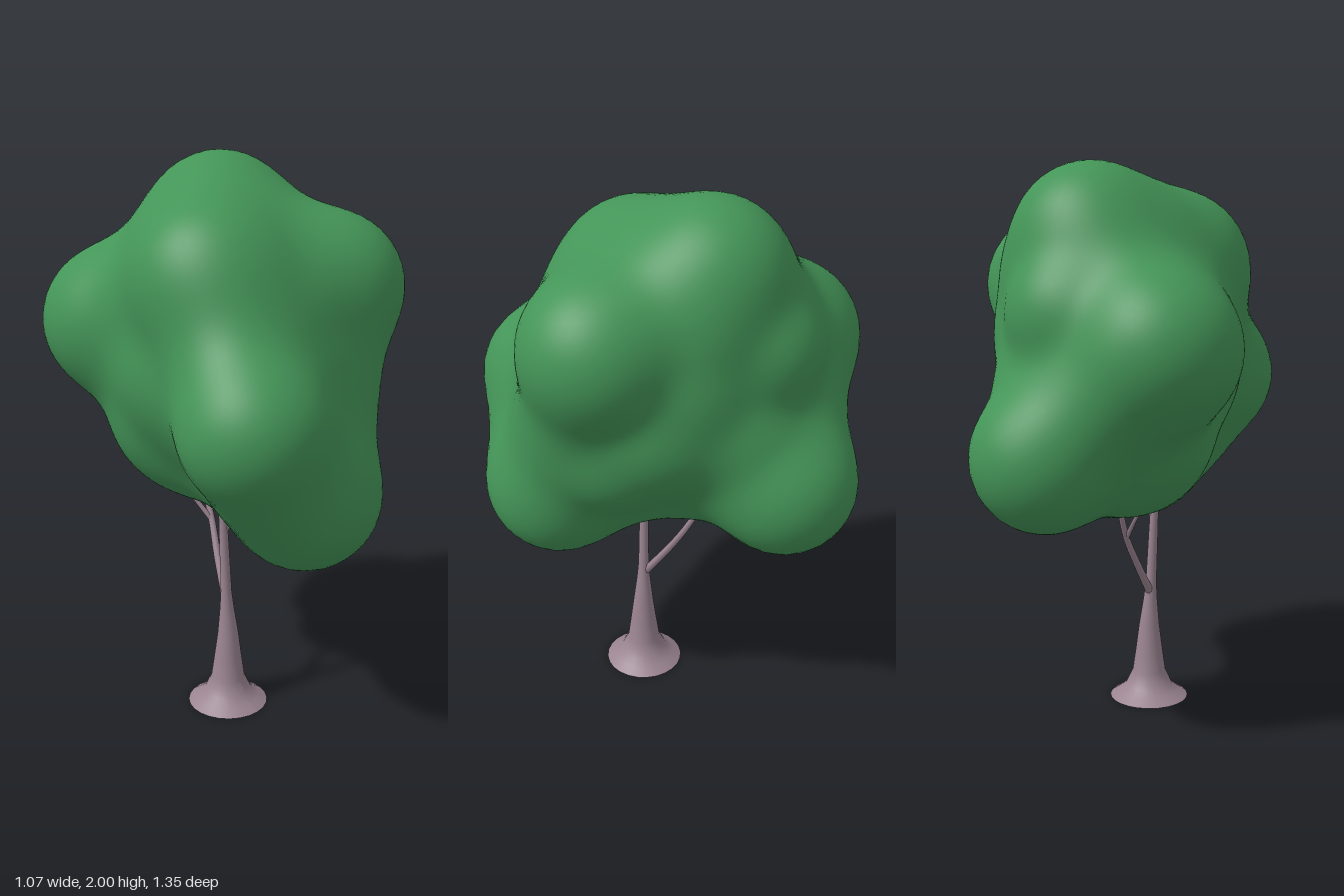
import * as THREE from 'three';
import { mergeVertices } from 'three/addons/utils/BufferGeometryUtils.js';

const V = (x, y, z) => new THREE.Vector3(x, y, z);

// Leaf lobes, and the pairs of lobes bridged by a rounded bar
const CORE = V(0.03, 1.3, 0.0);
const LOBES = {
  core: CORE,
  left: V(-0.28, 1.2, 0.41),
  low: V(-0.01, 0.9, 0.405),
  rear: V(0.27, 1.02, -0.36),
  right: V(0.27, 1.55, 0.26),
  top: V(0.13, 1.73, -0.12),
  back: V(-0.11, 1.39, -0.40),
  crown: V(-0.15, 1.62, 0.1),
  under: V(0.01, 1.02, -0.1),
};
const BARS = [
  ['core', 'left'], ['core', 'low'], ['core', 'rear'], ['core', 'right'], ['core', 'top'],
  ['core', 'back'], ['core', 'crown'], ['left', 'low'], ['low', 'right'], ['top', 'back'],
  ['top', 'crown'], ['back', 'rear'], ['back', 'crown'], ['right', 'top'], ['under', 'rear'],
  ['under', 'low'], ['crown', 'left'], ['under', 'back'], ['crown', 'right'],
].map(([a, b]) => new THREE.Line3(LOBES[a], LOBES[b]));

// Smaller lobes that fill the hollows between the bars
const FILLS = [
  // right flank
  V(0.25, 1.42, -0.03), V(0.25, 1.25, 0.07), V(0.18, 1.13, 0.21), V(0.22, 1.6, -0.06),
  V(0.19, 1.5, -0.28), V(0.24, 1.22, -0.2), V(0.1, 1.25, -0.3),
  // top
  V(0.0, 1.70, 0.0), V(-0.04, 1.66, -0.09), V(0.09, 1.64, 0.08),
  // front
  V(0.0, 1.32, 0.3), V(-0.17, 1.02, 0.40), V(-0.08, 1.45, 0.25), V(-0.12, 1.22, 0.33),
  V(-0.12, 1.57, 0.18), V(0.08, 1.54, 0.25),
  // left flank and underside
  V(-0.15, 1.28, 0.02), V(-0.1, 1.15, 0.15), V(-0.07, 1.06, -0.17),
];

const BAR_RADIUS = 0.213, FILL_RADIUS = 0.205, CORE_RADIUS = 0.4, BLEND = 0.038;
const near = new THREE.Vector3();

// Smoothly blended distance to the leaf mass
function distance(p) {
  let sum = Math.exp(-(p.distanceTo(CORE) - CORE_RADIUS) / BLEND);
  for (const fill of FILLS) sum += Math.exp(-(p.distanceTo(fill) - FILL_RADIUS) / BLEND);
  for (const bar of BARS) {
    bar.closestPointToPoint(p, true, near);
    sum += Math.exp(-(p.distanceTo(near) - BAR_RADIUS) / BLEND);
  }
  return -BLEND * Math.log(sum);
}

// Shrink a fine ball on to the blended lobes
function canopyGeometry() {
  let geo = new THREE.IcosahedronGeometry(1, 22);
  geo.deleteAttribute('normal');
  geo.deleteAttribute('uv');
  geo = mergeVertices(geo, 1e-4);
  const pos = geo.attributes.position, dir = V(0, 0, 0), p = V(0, 0, 0);
  for (let i = 0; i < pos.count; i++) {
    dir.fromBufferAttribute(pos, i).normalize();
    let t = 1.2;
    for (let n = 0; n < 80; n++) {
      const d = distance(p.copy(CORE).addScaledVector(dir, t));
      if (Math.abs(d) < 1e-4) break;
      t -= d * 0.9;
    }
    pos.setXYZ(i, CORE.x + dir.x * t, CORE.y + dir.y * t, CORE.z + dir.z * t);
  }
  geo.computeVertexNormals();
  return geo;
}

// Flared trunk, leaning slightly as it rises
function trunkGeometry() {
  const profile = [
    [0.147, 0], [0.115, 0.022], [0.088, 0.045], [0.074, 0.075], [0.062, 0.1], [0.051, 0.18],
    [0.038, 0.28], [0.026, 0.38], [0.02, 0.45], [0.017, 0.65], [0.014, 0.8], [0.008, 1.0],
  ].map(([r, y]) => new THREE.Vector2(r, y));
  const geo = new THREE.LatheGeometry(profile, 24);
  const pos = geo.attributes.position;
  for (let i = 0; i < pos.count; i++) {
    const lean = Math.max(0, pos.getY(i) - 0.28);
    pos.setX(i, pos.getX(i) - 0.07 - lean * 0.04);
    pos.setZ(i, pos.getZ(i) + 0.107 - lean * 0.02);
  }
  geo.computeVertexNormals();
  return geo;
}

// Tube along a curve, narrowing from r0 to r1
function branchGeometry(points, r0, r1) {
  const curve = new THREE.CatmullRomCurve3(points);
  const rings = 12, sides = 8;
  const geo = new THREE.TubeGeometry(curve, rings, 1, sides);
  const pos = geo.attributes.position, v = V(0, 0, 0);
  for (let i = 0; i < pos.count; i++) {
    const u = Math.floor(i / (sides + 1)) / rings;
    const c = curve.getPointAt(u);
    v.fromBufferAttribute(pos, i).sub(c).multiplyScalar(r0 + (r1 - r0) * u).add(c);
    pos.setXYZ(i, v.x, v.y, v.z);
  }
  return geo;
}

export function createModel() {
  const tree = new THREE.Group();
  tree.name = 'tree';
  const leaf = new THREE.MeshStandardMaterial({ color: 0x449558 });
  const bark = new THREE.MeshStandardMaterial({ color: 0x9a8490, side: THREE.DoubleSide });
  const add = (name, geometry, material) => {
    const mesh = new THREE.Mesh(geometry, material);
    mesh.name = name;
    tree.add(mesh);
  };

  add('canopy', canopyGeometry(), leaf);
  add('trunk', trunkGeometry(), bark);

  // Side branch and its twigs
  add('branch', branchGeometry(
    [V(-0.073, 0.41, 0.1), V(-0.025, 0.55, 0.01), V(0.01, 0.66, -0.05), V(0.04, 0.84, -0.14)], 0.016, 0.01), bark);
  add('branchTwig', branchGeometry(
    [V(0.01, 0.66, -0.05), V(-0.02, 0.74, -0.11), V(-0.06, 0.83, -0.17)], 0.01, 0.006), bark);
  add('trunkTwig', branchGeometry(
    [V(-0.085, 0.68, 0.1), V(-0.065, 0.75, 0.125), V(-0.04, 0.84, 0.16)], 0.01, 0.006), bark);
  return tree;
}
